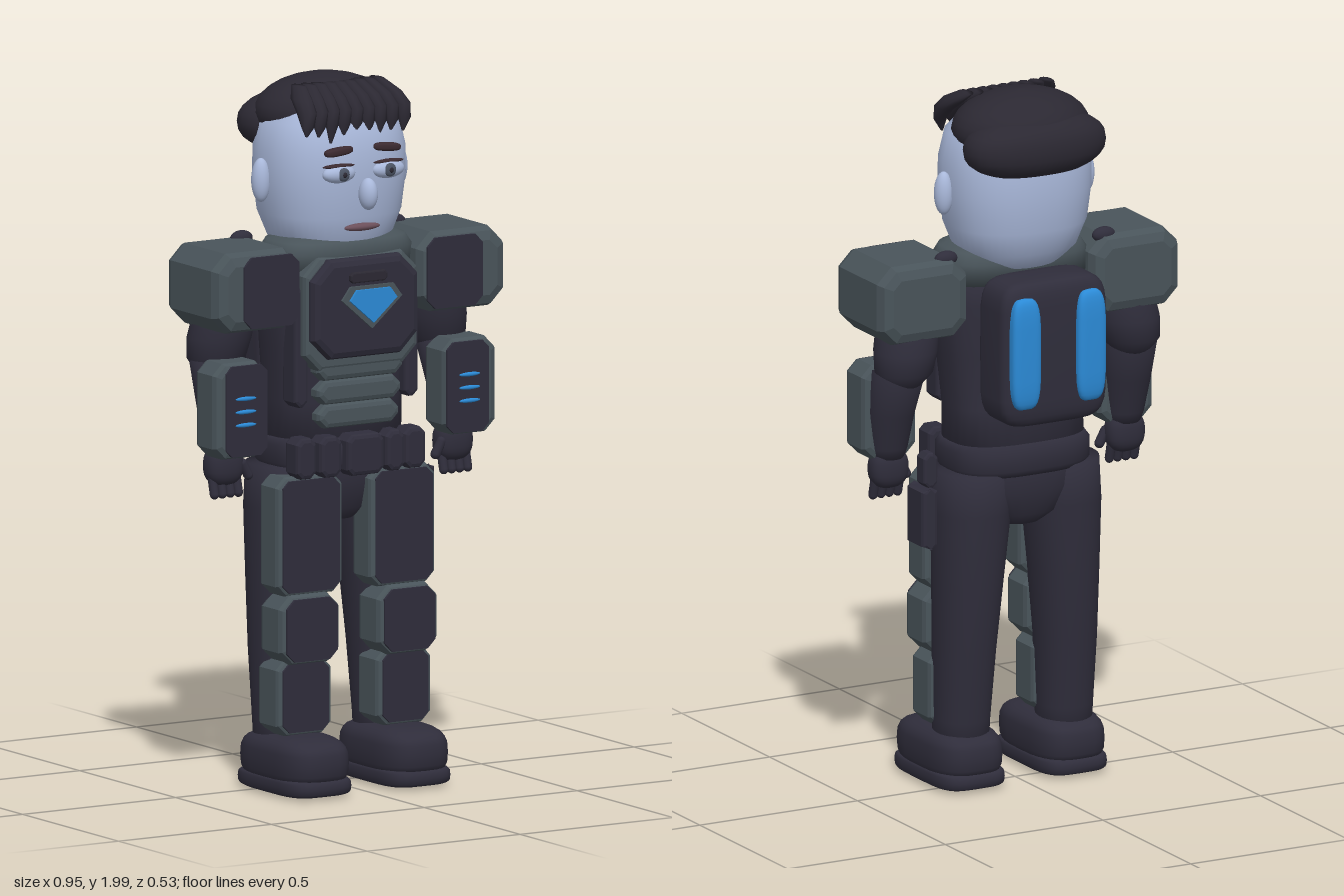
import * as THREE from 'three';

const mat = (name, color) => {
  const m = new THREE.MeshStandardMaterial({ color });
  m.name = name;
  return m;
};

export function createModel() {
  const suit = mat('dark suit', 0x2f2d3b), grey = mat('slate armour', 0x49545a), skin = mat('pale skin', 0xa9b8da);
  const blue = mat('glow blue', 0x2b8ad6), hair = mat('hair', 0x2b2832), brown = mat('brow brown', 0x3b2a30);
  const lip = mat('lip', 0x6b4f5a), iris = mat('iris grey', 0x4c5464);
  const model = new THREE.Group();

  const add = (name, geo, material, x = 0, y = 0, z = 0, rz = 0) => {
    const m = new THREE.Mesh(geo, material);
    m.name = name;
    m.position.set(x, y, z);
    m.rotation.z = rz;
    model.add(m);
    return m;
  };
  const sPow = (v, e) => Math.sign(v) * Math.pow(Math.abs(v), e);

  // Closed body from stacked superellipse rings, rows bottom to top: [y, cx, cz, rx, rz]
  const loft = (rows, power = 2, n = 32) => {
    const pos = [], idx = [];
    const e = 2 / power;
    for (const [y, cx, cz, rx, rz] of rows) {
      for (let j = 0; j < n; j++) {
        const t = (j / n) * Math.PI * 2;
        pos.push(cx + rx * sPow(Math.cos(t), e), y, cz + rz * sPow(Math.sin(t), e));
      }
    }
    const last = (rows.length - 1) * n, bottom = rows.length * n;
    for (const r of [rows[0], rows[rows.length - 1]]) pos.push(r[1], r[0], r[2]);
    for (let j = 0; j < n; j++) {
      const k = (j + 1) % n;
      for (let i = 0; i < last; i += n) idx.push(i + j, i + n + j, i + k, i + k, i + n + j, i + n + k);
      idx.push(bottom, j, k, bottom + 1, last + k, last + j);
    }
    const g = new THREE.BufferGeometry();
    g.setAttribute('position', new THREE.Float32BufferAttribute(pos, 3));
    g.setIndex(idx);
    g.computeVertexNormals();
    return g;
  };

  // Ellipsoid, squarer as power grows
  const blob = (rx, ry, rz, power = 2) => {
    const rows = [], steps = 14, e = 2 / power;
    for (let i = 0; i <= steps; i++) {
      const a = (i / steps - 0.5) * Math.PI * 0.98;
      const c = Math.pow(Math.cos(a), e);
      rows.push([ry * sPow(Math.sin(a), e), 0, 0, rx * c, rz * c]);
    }
    return loft(rows, power);
  };

  const polygon = (pts) => new THREE.Shape(pts.map(([x, y]) => new THREE.Vector2(x, y)));

  // Octagonal slab with bevelled faces; c = corner cut, b = bevel
  const slab = (w, h, d, c = 0.02, b = 0.015) => {
    const x = w / 2 - b, y = h / 2 - b;
    const s = polygon([[-x + c, -y], [x - c, -y], [x, -y + c], [x, y - c], [x - c, y], [-x + c, y], [-x, y - c], [-x, -y + c]]);
    const g = new THREE.ExtrudeGeometry(s, {
      depth: d - 2 * b, bevelEnabled: b > 0, bevelSize: b, bevelThickness: b, bevelSegments: 2,
    });
    return g.translate(0, 0, b - d / 2);
  };
  const thin = (w, h, c = 0.015) => slab(w, h, 0.008, c, 0);

  // Head and face
  add('head', loft([
    [1.48, 0, 0.01, 0.07, 0.07], [1.505, 0, 0.01, 0.125, 0.12], [1.55, 0, 0.005, 0.172, 0.152], [1.62, 0, 0.003, 0.2, 0.175],
    [1.72, 0, 0.003, 0.213, 0.185], [1.8, 0, 0.003, 0.212, 0.184], [1.88, 0, 0, 0.196, 0.168], [1.94, 0, 0, 0.14, 0.12], [1.965, 0, 0, 0.06, 0.05],
  ], 2.3, 48), skin);
  add('nose', blob(0.026, 0.045, 0.03), skin, 0, 1.69, 0.208);
  add('mouth', blob(0.058, 0.011, 0.014), lip, 0, 1.593, 0.176);
  for (const s of [-1, 1]) {
    add('ear', blob(0.027, 0.062, 0.027), skin, s * 0.224, 1.72, 0.005);
    add('eye', blob(0.052, 0.026, 0.025), skin, s * 0.08, 1.75, 0.182);
    add('upperLid', blob(0.052, 0.006, 0.014), brown, s * 0.08, 1.772, 0.182);
    add('iris', blob(0.019, 0.019, 0.008), iris, s * 0.076, 1.75, 0.202);
    add('pupil', blob(0.007, 0.008, 0.005), hair, s * 0.076, 1.75, 0.208);
    add('eyebrow', blob(0.045, 0.012, 0.016, 3), brown, s * 0.078, 1.812, 0.178, -s * 0.1);
  }

  // Hair: crown, back roll and fringe locks
  add('hairCrown', blob(0.2, 0.105, 0.165), hair, 0, 1.895, -0.03);
  add('hairBack', blob(0.215, 0.09, 0.11, 2.3), hair, 0, 1.86, -0.11);
  for (let i = 0; i < 9; i++) {
    const x = -0.155 + i * 0.0375, tip = 1.845 + 0.012 * Math.sin(i * 2.1) + (Math.abs(i - 4) > 3 ? 0.015 : 0);
    add('fringeLock', loft([
      [tip, x * 1.05 - 0.012, 0.165, 0.003, 0.004], [1.885, x * 1.05 - 0.004, 0.16, 0.02, 0.014], [1.925, x * 1.02, 0.138, 0.025, 0.038],
      [1.955, x * 0.97, 0.1, 0.024, 0.045], [1.985, x * 0.85, 0.055, 0.016, 0.03],
    ], 2, 10), hair);
  }

  // Torso, collar, pelvis and belt
  add('torso', loft([
    [0.95, 0, 0.01, 0.2, 0.135], [1.1, 0, 0.02, 0.2, 0.12], [1.25, 0, 0.025, 0.215, 0.125], [1.4, 0, 0.03, 0.225, 0.135], [1.5, 0, 0.03, 0.21, 0.125],
  ], 2.8), suit);
  add('collar', loft([
    [1.46, 0, 0.03, 0.22, 0.13], [1.52, 0, 0.035, 0.22, 0.135], [1.55, 0, 0.035, 0.2, 0.125], [1.57, 0, 0.03, 0.15, 0.1],
  ], 2.8), grey);
  add('pelvis', loft([
    [0.755, 0, 0, 0.06, 0.07], [0.79, 0, 0, 0.12, 0.105], [0.86, 0, 0, 0.18, 0.122], [0.98, 0, 0, 0.2, 0.13],
  ], 2.5), suit);
  add('belt', loft([
    [0.91, 0, 0.015, 0.2, 0.14], [0.93, 0, 0.015, 0.213, 0.157], [0.98, 0, 0.015, 0.213, 0.157], [1.0, 0, 0.015, 0.2, 0.14],
  ], 2.8), suit);
  for (const [x, w] of [[-0.18, 0.065], [-0.105, 0.07], [0, 0.12], [0.105, 0.06], [0.175, 0.07]])
    add('beltPouch', slab(w, 0.115, 0.07, 0.01, 0.012), suit, x, 0.955, 0.165 - Math.abs(x) * 0.12);

  // Chest armour with a plain gem plate
  add('vestBacking', slab(0.37, 0.32, 0.09, 0.04), grey, 0, 1.355, 0.13);
  add('chestPlate', slab(0.345, 0.28, 0.09, 0.045, 0.02), suit, 0, 1.37, 0.158);
  add('chestSlot', slab(0.12, 0.03, 0.02, 0.006, 0.004), hair, 0, 1.458, 0.205);
  const gem = (k) => new THREE.ExtrudeGeometry(
    polygon([[0, -0.07 * k], [0.098 * k, 0.015 * k], [0.07 * k, 0.052 * k], [-0.07 * k, 0.052 * k], [-0.098 * k, 0.015 * k]]),
    { depth: 0.008, bevelEnabled: false });
  add('gemFrame', gem(1), grey, 0, 1.385, 0.222);
  add('gemMount', slab(0.08, 0.06, 0.03, 0.01, 0.005), suit, 0, 1.385, 0.21);
  add('gem', gem(0.78), blue, 0, 1.387, 0.231);
  for (let i = 0; i < 3; i++)
    add('abdomenPlate', slab(0.28 - i * 0.008, 0.066, 0.09, 0.015, 0.015), grey, 0, 1.2 - i * 0.068, 0.128 - i * 0.004);

  // Backpack
  add('backpack', blob(0.17, 0.21, 0.085, 6), suit, 0, 1.29, -0.16);

  // Slate plate with a thin dark front panel
  const armour = (name, x, y, z, w, h, d, c, b, pw = w - 0.03, ph = h - 0.02, px = x) => {
    add(name, slab(w, h, d, c, b), grey, x, y, z);
    add(name + 'Panel', thin(pw, ph, c), suit, px, y, z + d / 2 + 0.001);
  };

  for (const s of [-1, 1]) {
    add('packLight', blob(0.046, 0.16, 0.03, 4), blue, s * 0.103, 1.3, -0.236);
    add('sideStrap', slab(0.045, 0.34, 0.07, 0.01, 0.01), suit, s * 0.18, 1.265, 0.115);

    // Shoulder
    armour('shoulderPad', s * 0.335, 1.44, 0.04, 0.28, 0.225, 0.28, 0.025, 0.035, 0.18, 0.2, s * 0.3);
    add('shoulderStud', blob(0.035, 0.022, 0.02), suit, s * 0.25, 1.55, -0.055);

    // Arm
    add('upperArm', loft([
      [1.19, s * 0.365, -0.01, 0.05, 0.05], [1.23, s * 0.36, -0.012, 0.082, 0.08], [1.29, s * 0.352, -0.008, 0.09, 0.09], [1.42, s * 0.33, 0.01, 0.085, 0.09],
    ]), suit);
    add('forearm', loft([
      [0.97, s * 0.375, 0.05, 0.045, 0.042], [1.0, s * 0.375, 0.05, 0.055, 0.052], [1.1, s * 0.375, 0.035, 0.066, 0.066], [1.23, s * 0.368, 0, 0.075, 0.075],
    ]), suit);
    armour('forearmPlate', s * 0.375, 1.105, 0.09, 0.17, 0.27, 0.115, 0.02, 0.02, 0.135, 0.255, s * 0.362);
    for (let i = 0; i < 3; i++) add('forearmLight', blob(0.034, 0.006, 0.005), blue, s * 0.366, 1.14 - i * 0.037, 0.154);

    // Hand
    add('palm', blob(0.058, 0.058, 0.042, 2.5), suit, s * 0.375, 0.94, 0.05);
    for (let i = 0; i < 4; i++) {
      const f = add('finger', new THREE.CapsuleGeometry(0.013, 0.05, 4, 10), suit, s * (0.336 + i * 0.026), 0.885, 0.06);
      f.rotation.x = -0.25;
    }
    add('thumb', new THREE.CapsuleGeometry(0.014, 0.04, 4, 10), suit, s * 0.316, 0.925, 0.07, -s * 0.5);

    // Leg
    add('leg', loft([
      [0.1, s * 0.163, 0.02, 0.075, 0.08], [0.2, s * 0.163, 0.015, 0.078, 0.082], [0.4, s * 0.16, 0.005, 0.085, 0.095],
      [0.6, s * 0.152, 0, 0.095, 0.108], [0.8, s * 0.143, -0.003, 0.108, 0.116], [0.92, s * 0.135, 0, 0.11, 0.12],
    ], 2.2), suit);
    armour('thighPlate', s * 0.152, 0.735, 0.1, 0.215, 0.335, 0.1, 0.02, 0.015);
    armour('kneePlate', s * 0.16, 0.473, 0.108, 0.195, 0.195, 0.12, 0.025, 0.02);
    armour('shinPlate', s * 0.163, 0.28, 0.085, 0.178, 0.215, 0.11, 0.02, 0.015);

    // Boot
    add('boot', blob(0.108, 0.075, 0.18, 3.2), suit, s * 0.162, 0.1, 0.082);
    add('sole', blob(0.107, 0.03, 0.182, 4), suit, s * 0.162, 0.037, 0.082);
  }

  // Holster on the left hip
  add('holster', slab(0.05, 0.2, 0.1, 0.015, 0.012), suit, 0.283, 0.795, 0.02);
  add('holsterGrip', slab(0.045, 0.1, 0.05, 0.01, 0.008), suit, 0.265, 0.925, 0.025);

  return model;
}
